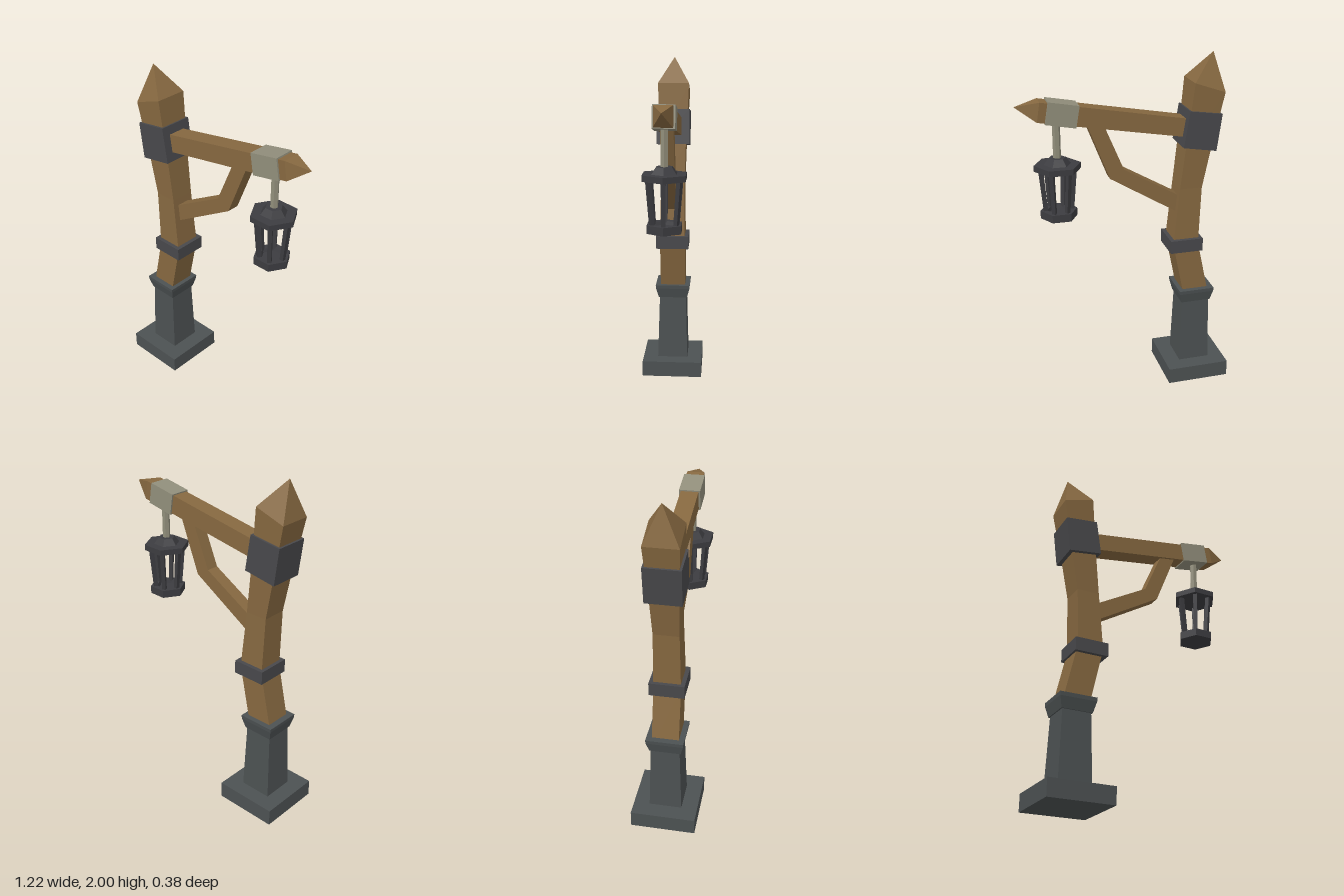
import * as THREE from 'three';

const mat = (color) => new THREE.MeshStandardMaterial({ color, flatShading: true });

// Four-sided beam through sections [xLeft, yLeft, xRight, yRight, halfDepth],
// left and right being the two edges as seen along the direction of travel.
function beam(sections) {
  const pos = [];
  const rings = sections.map(([xa, ya, xb, yb, h]) => [[xa, ya, h], [xb, yb, h], [xb, yb, -h], [xa, ya, -h]]);
  const quad = (a, b, c, d) => pos.push(...a, ...b, ...c, ...a, ...c, ...d);
  for (let i = 0; i < rings.length - 1; i++) {
    for (let j = 0; j < 4; j++) {
      const k = (j + 1) % 4;
      quad(rings[i][j], rings[i][k], rings[i + 1][k], rings[i + 1][j]);
    }
  }
  const s = rings[0], e = rings[rings.length - 1];
  quad(s[3], s[2], s[1], s[0]);
  quad(e[0], e[1], e[2], e[3]);
  const geo = new THREE.BufferGeometry();
  geo.setAttribute('position', new THREE.Float32BufferAttribute(pos, 3));
  geo.computeVertexNormals();
  return geo;
}

// Upright section centred on x
const level = (x, y, hx, hz = hx) => [x - hx, y, x + hx, y, hz];

// Six-sided turned part with corners on the x axis
const hexLathe = (points) =>
  new THREE.LatheGeometry(points.map(([r, y]) => new THREE.Vector2(r, y)), 6, Math.PI / 2);

export function createModel() {
  const root = new THREE.Group();
  const wood = mat(0x866840), stone = mat(0x4c5152), iron = mat(0x48484b);
  const darkIron = mat(0x3c3c40), rope = mat(0x918e7b);
  const add = (parent, name, geometry, material) => {
    const mesh = new THREE.Mesh(geometry, material);
    mesh.name = name;
    parent.add(mesh);
    return mesh;
  };

  // Stone foot
  const bx = -0.425;
  add(root, 'plinth', beam([level(bx, 0, 0.188), level(bx, 0.098, 0.188)]), stone);
  add(root, 'pedestal', beam([level(bx, 0.098, 0.095), level(bx, 0.51, 0.083)]), stone);
  add(root, 'pedestalCollar', beam([
    level(bx, 0.503, 0.09), level(bx, 0.565, 0.106), level(bx, 0.587, 0.108),
  ]), stone);

  // Crooked wooden post with a pointed top
  add(root, 'post', beam([
    [-0.51, 0.53, -0.355, 0.53, 0.077],
    [-0.43, 0.89, -0.277, 0.89, 0.077],
    [-0.442, 1.235, -0.31, 1.235, 0.072],
    [-0.484, 1.46, -0.336, 1.48, 0.078],
    [-0.55, 1.79, -0.373, 1.85, 0.094],
    [-0.505, 2, -0.505, 2, 0],
  ]), wood);
  add(root, 'lowerBand', beam([level(-0.354, 0.845, 0.098, 0.1), level(-0.354, 0.923, 0.098, 0.1)]), iron);
  add(root, 'upperBand', beam([
    [-0.51, 1.458, -0.315, 1.49, 0.1],
    [-0.537, 1.67, -0.347, 1.697, 0.1],
  ]), iron);

  // Arm, its clamp and its bent brace
  add(root, 'arm', beam([
    [-0.42, 1.632, -0.4, 1.529, 0.052],
    [0.475, 1.79, 0.493, 1.682, 0.05],
    [0.606, 1.762, 0.606, 1.762, 0],
  ]), wood);
  add(root, 'armClamp', beam([
    [0.262, 1.76, 0.283, 1.638, 0.06],
    [0.431, 1.791, 0.452, 1.67, 0.06],
  ]), rope);
  add(root, 'brace', beam([
    [-0.34, 1.172, -0.33, 1.07, 0.037],
    [0.013, 1.373, 0.093, 1.325, 0.037],
    [0.125, 1.635, 0.222, 1.65, 0.037],
  ]), wood);

  // Hanging lantern
  const lantern = new THREE.Group();
  lantern.name = 'lantern';
  lantern.position.x = 0.383;
  root.add(lantern);
  const rod = add(lantern, 'hangingRod', new THREE.CylinderGeometry(0.022, 0.022, 0.21, 6), rope);
  rod.position.y = 1.555;
  rod.rotation.y = Math.PI / 2;
  add(lantern, 'lanternCap', hexLathe([
    [0, 1.395], [0.132, 1.395], [0.132, 1.428], [0.076, 1.428], [0.048, 1.465], [0, 1.465],
  ]), darkIron);
  add(lantern, 'lanternBase', hexLathe([
    [0, 1.115], [0.105, 1.115], [0.105, 1.16], [0.068, 1.16], [0.06, 1.14], [0, 1.14],
  ]), darkIron);

  // Six slanted bars of the cage
  const barGeometry = beam([
    [0.062, 1.15, 0.085, 1.15, 0.011],
    [0.082, 1.4, 0.107, 1.4, 0.012],
  ]);
  for (let i = 0; i < 6; i++) {
    add(lantern, 'cageBar', barGeometry, darkIron).rotation.y = (i * Math.PI) / 3;
  }
  return root;
}
